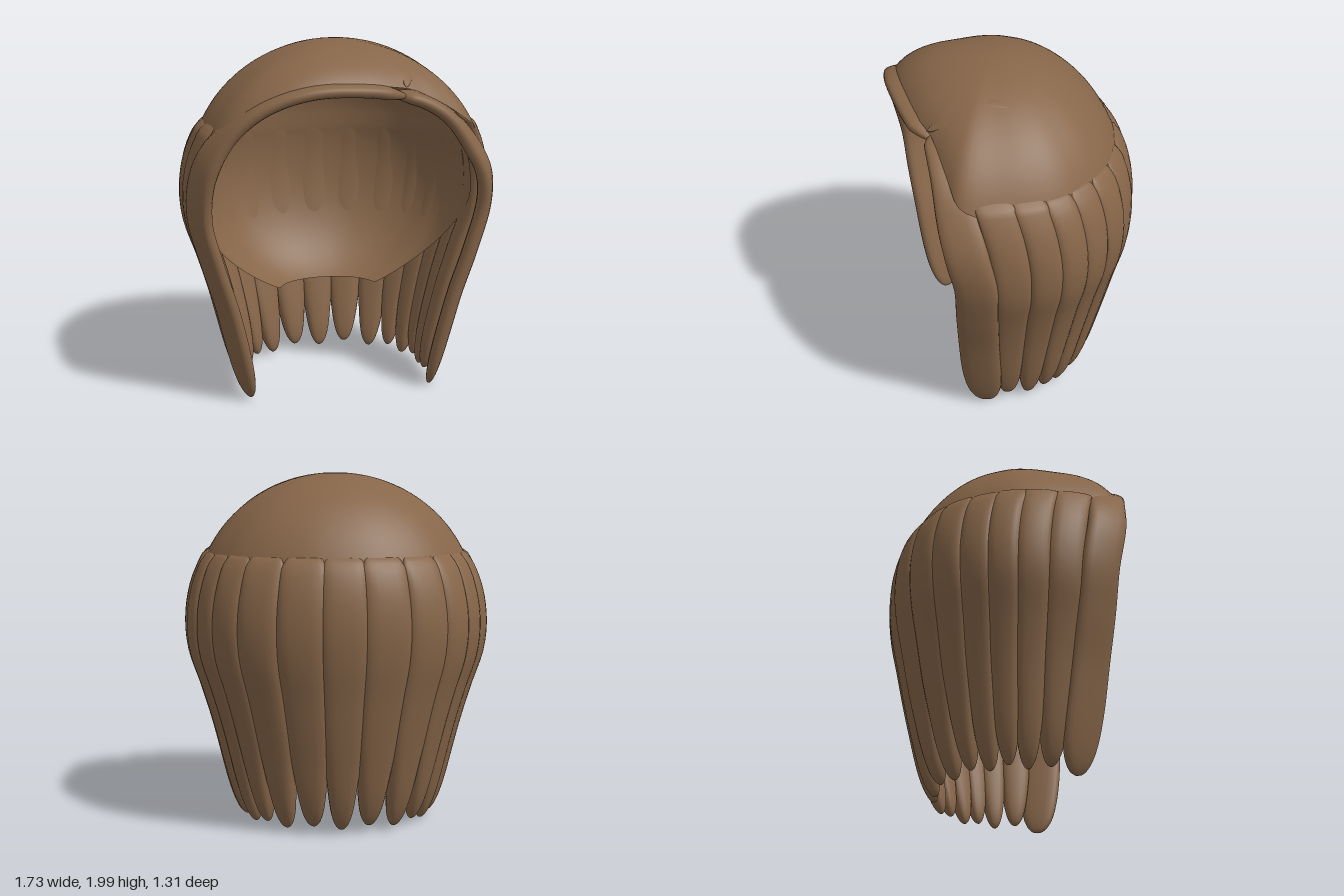
import * as THREE from 'three';

const V = (x, y, z) => new THREE.Vector3(x, y, z);
const spline = (pts, closed = false) => new THREE.CatmullRomCurve3(pts, closed, 'catmullrom', 0.5);
const { lerp, smoothstep, clamp, degToRad } = THREE.MathUtils;

// Hair envelope every 0.2 of height: half width, back z, front z
const levels = spline([
  V(0.585, -0.42, 0.38), V(0.63, -0.47, 0.41), V(0.675, -0.515, 0.44), V(0.725, -0.56, 0.465), V(0.785, -0.60, 0.49),
  V(0.85, -0.64, 0.51), V(0.865, -0.655, 0.53), V(0.83, -0.63, 0.56), V(0.74, -0.55, 0.59),
]);

// Plan outline from the middle of the back (0) round to the front edge (8)
const half = [[0.28, 0.02], [0.55, 0.09], [0.75, 0.19], [0.88, 0.31], [0.97, 0.435], [1, 0.575], [0.99, 0.73], [0.96, 0.9], [0.88, 1.05]];
const plan = spline([
  ...half.map(([x, z]) => V(-x, 0, z)).reverse(), V(0, 0, 0), ...half.map(([x, z]) => V(x, 0, z)),
]);

function ring(u, y, inset = 0) {
  const l = levels.getPoint(clamp(y / 1.6, 0, 1));
  const at = (q) => {
    const p = plan.getPoint((q + 9) / 18);
    return V(p.x * l.x, y, l.y + p.z * (l.z - l.y));
  };
  const point = at(u);
  const tangent = at(u + 0.1).sub(at(u - 0.1)).normalize();
  const normal = V(tangent.z, 0, -tangent.x);
  return { point: point.addScaledVector(normal, -inset), tangent, normal };
}

// Smooth grid surface from a point rule
function surface(rows, cols, rule, closed) {
  const pos = [], index = [];
  const n = closed ? cols : cols + 1;
  for (let i = 0; i <= rows; i++) {
    for (let j = 0; j < n; j++) pos.push(...rule(i / rows, j / cols).toArray());
  }
  for (let i = 0; i < rows; i++) {
    for (let j = 0; j < cols; j++) {
      const k = (j + 1) % n;
      const a = i * n + j, b = i * n + k, c = a + n, d = b + n;
      index.push(a, b, c, b, d, c);
    }
  }
  const g = new THREE.BufferGeometry();
  g.setAttribute('position', new THREE.Float32BufferAttribute(pos, 3));
  g.setIndex(index);
  g.computeVertexNormals();
  return g;
}

// Strand with a softly squared oval section; frame(t) gives centre, axes and half sizes
function strand(rows, frame) {
  const soft = (v) => Math.sign(v) * Math.abs(v) ** 0.75;
  let last = -1, f;
  return surface(rows, 20, (t, s) => {
    if (t !== last) { f = frame(t); last = t; }
    const a = s * Math.PI * 2;
    return f.c.clone().addScaledVector(f.A, f.w * soft(Math.cos(a))).addScaledVector(f.C, f.d * soft(Math.sin(a)));
  }, true);
}

const tipTaper = (y, tip) => Math.sqrt(Math.max(0, 1 - clamp((0.6 - y) / (0.6 - tip), 0, 1) ** 4.5));

export function createModel() {
  const group = new THREE.Group();
  const brown = new THREE.MeshStandardMaterial({ color: 0x876649, side: THREE.DoubleSide });
  brown.name = 'brown hair';
  const add = (name, geometry) => {
    const mesh = new THREE.Mesh(geometry, brown);
    mesh.name = name;
    group.add(mesh);
  };

  // Crown: arcs from the apex to a rim that rises over the face
  const rimPts = [];
  for (let k = -7; k <= 7; k++) rimPts.push(ring(k, 1.5, 0.03).point);
  rimPts.push(
    V(0.7, 1.56, 0.44), V(0.55, 1.67, 0.48), V(0.4, 1.75, 0.5), V(0.3, 1.785, 0.52),
    V(0.1, 1.81, 0.57), V(-0.2, 1.815, 0.59), V(-0.45, 1.74, 0.56), V(-0.66, 1.59, 0.48),
  );
  const rim = spline(rimPts, true);
  const apex = V(0, 2, 0.1);
  const arc = degToRad(70);
  add('crown', surface(24, 96, (t, s) => {
    const e = rim.getPoint(s);
    const h = Math.sin(t * arc) / Math.sin(arc);
    const v = (Math.cos(t * arc) - Math.cos(arc)) / (1 - Math.cos(arc));
    return V(apex.x + (e.x - apex.x) * h, e.y + (apex.y - e.y) * v, apex.z + (e.z - apex.z) * h);
  }, true));

  // Inner lining: a bowl curling in at the nape, a short wall, then a dome under the crown
  add('innerLining', surface(40, 80, (t, s) => {
    const side = 2 * s - 1;
    if (t < 0.5) {
      const a = Math.asin(0.64 / 0.7) * (1 - t / 0.5);
      const y = 1.15 - 0.7 * Math.sin(a);
      const reach = lerp(4.6, 7.8, (y - 0.51) / 0.64);
      const p = ring(side * reach, 1.15, 0.117).point;
      return V(p.x * Math.cos(a), y, -0.05 + (p.z + 0.05) * Math.cos(a));
    }
    if (t < 0.65) return ring(side * 7.8, lerp(1.15, 1.4, (t - 0.5) / 0.15), 0.117).point;
    const p = ring(side * 7.8, 1.4, 0.117).point;
    const a = (t - 0.65) / 0.35 * Math.PI / 2;
    return V(p.x * Math.cos(a), 1.4 + 0.57 * Math.sin(a), 0.1 + (p.z - 0.1) * Math.cos(a));
  }, false));

  // Hanging locks round the back and sides, the foremost tucked under the crown
  for (let k = -7; k <= 7; k++) {
    const tip = 0.03 + 0.02 * (Math.abs(k) % 2);
    const top = 1.57 + 0.035 * Math.max(0, Math.abs(k) - 5);
    add('hangingLock', strand(40, (t) => {
      const y = tip + (top - tip) * (0.5 - 0.5 * Math.cos(t * Math.PI));
      const depth = lerp(0.06, 0.03, smoothstep(y, 1.35, 1.57));
      const { point, tangent, normal } = ring(k, y, depth + 0.9 * Math.max(0, y - 1.55));
      const spacing = ring(k + 0.5, y).point.distanceTo(ring(k - 0.5, y).point) / 2;
      const end = Math.sqrt(clamp((top - y) / 0.07, 0, 1));
      const taper = tipTaper(y, tip);
      const loose = Math.abs(k) > 3 ? 1.05 : 0.9;
      const w = spacing * lerp(loose, 1.1, smoothstep(y, 0.15, 0.6)) * taper * (0.6 + 0.4 * end);
      return { c: point, A: tangent, C: normal, w, d: depth * taper * end };
    }));
  }

  // Front locks: sweep from the parting, frame the face and hang to a point
  const sweeps = {
    rightFringeLock: [-1, V(0.31, 1.74, 0.49), V(0.1, 1.785, 0.545), V(-0.2, 1.79, 0.57), V(-0.45, 1.71, 0.535),
      V(-0.65, 1.55, 0.475), V(-0.765, 1.35, 0.44)],
    leftFringeLock: [1, V(0.24, 1.75, 0.46), V(0.4, 1.71, 0.465), V(0.55, 1.62, 0.46),
      V(0.67, 1.48, 0.45), V(0.77, 1.3, 0.43)],
  };
  for (const [name, [side, ...pts]] of Object.entries(sweeps)) {
    for (const y of [1.1, 0.85, 0.6, 0.4, 0.2, 0.01]) pts.push(ring(side * 8, y, 0.042).point);
    const path = spline(pts);
    add(name, strand(80, (t) => {
      // Rows crowd together at both ends to round them
      const q = lerp(t, 0.5 - 0.5 * Math.cos(t * Math.PI), 0.7);
      const c = path.getPointAt(q);
      const D = path.getTangentAt(q);
      const rise = smoothstep(c.y, 1.4, 1.8);
      // The front edge turns in towards the face down the sides
      const lean = V(-side * 0.38 * (1 - rise), 0, 1);
      const A = lean.addScaledVector(D, -lean.dot(D)).normalize();
      const C = D.clone().cross(A);
      const taper = tipTaper(c.y, 0.01) * Math.sqrt(Math.min(1, q / 0.05));
      return { c, A, C, w: lerp(0.115, 0.085, rise) * taper, d: lerp(0.043, 0.036, rise) * taper };
    }));
  }

  // Shallow ridge along the parting
  const part = spline([V(0.3, 1.79, 0.53), V(0.33, 1.865, 0.4), V(0.31, 1.925, 0.24), V(0.38, 1.905, 0.06)]);
  add('partingRidge', strand(20, (t) => {
    const D = part.getTangentAt(t);
    const A = V(1, -0.35, 0).addScaledVector(D, -D.x + 0.35 * D.y).normalize();
    const s = Math.sqrt(Math.max(0, Math.sin(t * Math.PI)));
    return { c: part.getPointAt(t), A, C: D.clone().cross(A), w: 0.04 * s, d: 0.012 * s };
  }));

  return group;
}
